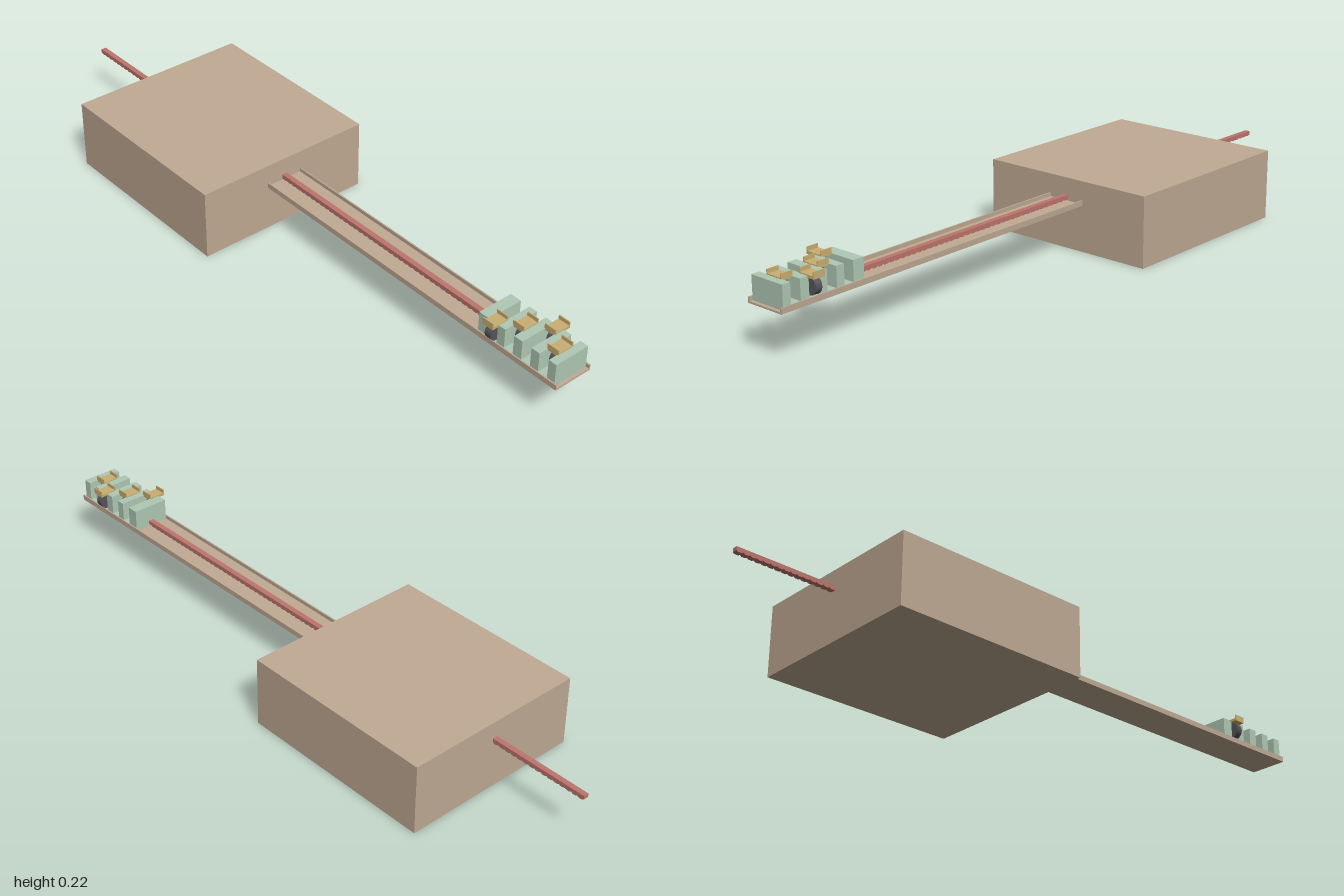
import * as THREE from 'three';

const material = (name, color) => {
  const m = new THREE.MeshStandardMaterial({ color });
  m.name = name;
  return m;
};

export function createModel() {
  const root = new THREE.Group();
  root.name = 'slidingMechanism';
  const tan = material('tan', 0xc0aa94);
  const green = material('paleGreen', 0xb0c9b5);
  const gold = material('brass', 0xc9af72);
  const red = material('dullRed', 0xbd756d);
  const dark = material('charcoal', 0x55555c);

  // Axis-aligned block given by its limits
  const block = (parent, name, mat, x0, x1, y0, y1, z0, z1) => {
    const mesh = new THREE.Mesh(new THREE.BoxGeometry(x1 - x0, y1 - y0, z1 - z0), mat);
    mesh.position.set((x0 + x1) / 2, (y0 + y1) / 2, (z0 + z1) / 2);
    mesh.name = name;
    parent.add(mesh);
    return mesh;
  };

  block(root, 'housing', tan, -0.277, 0.277, 0, 0.208, -0.7, -0.1);

  // U-shaped channel
  const channel = new THREE.Group();
  channel.name = 'channel';
  root.add(channel);
  block(channel, 'channelFloor', tan, -0.06, 0.06, 0.136, 0.141, -0.1, 1);
  for (const s of [-1, 1]) {
    block(channel, 'channelWall', tan, s * 0.058 - 0.002, s * 0.058 + 0.002, 0.141, 0.152, -0.1, 1);
  }

  // Push rod with fine teeth along its underside
  const rod = new THREE.Shape();
  const start = -1, end = 0.73, pitch = 0.02;
  const count = Math.floor((end - start) / pitch);
  rod.moveTo(start, 0.158);
  rod.lineTo(start, 0.147);
  for (let i = 0; i < count; i++) {
    const z = start + i * pitch;
    rod.lineTo(z + pitch * 0.25, 0.144);
    rod.lineTo(z + pitch * 0.75, 0.144);
    rod.lineTo(z + pitch, 0.147);
  }
  rod.lineTo(end, 0.147);
  rod.lineTo(end, 0.158);
  const rodGeometry = new THREE.ExtrudeGeometry(rod, { depth: 0.016, bevelEnabled: false });
  rodGeometry.rotateY(-Math.PI / 2).translate(0.008, 0, 0);
  const rodMesh = new THREE.Mesh(rodGeometry, red);
  rodMesh.name = 'pushRod';
  root.add(rodMesh);

  // Holder: low base with upright dividers
  const holder = new THREE.Group();
  holder.name = 'holder';
  root.add(holder);
  block(holder, 'holderBase', green, -0.055, 0.055, 0.141, 0.15, 0.731, 0.989);
  const dividers = [[0.73, 0.765], [0.795, 0.82], [0.85, 0.878], [0.908, 0.935], [0.965, 0.99]];
  for (const [z0, z1] of dividers) {
    block(holder, 'divider', green, -0.055, 0.055, 0.141, 0.207, z0, z1);
  }

  // Discs hanging in the slots, each under a brass clip with upturned ends
  const stations = [[-0.05, 0.78], [0, 0.835], [0.05, 0.893], [0, 0.95]];
  for (const [x, z] of stations) {
    const slider = new THREE.Group();
    slider.name = 'slider';
    slider.position.set(x, 0, z);
    root.add(slider);
    const disc = new THREE.Mesh(new THREE.CylinderGeometry(0.024, 0.024, 0.02, 32), dark);
    disc.rotation.x = Math.PI / 2;
    disc.position.y = 0.178;
    disc.name = 'disc';
    slider.add(disc);
    block(slider, 'clipPlate', gold, -0.026, 0.026, 0.202, 0.21, -0.018, 0.018);
    for (const s of [-1, 1]) {
      block(slider, 'clipFlange', gold, s * 0.0245 - 0.0015, s * 0.0245 + 0.0015, 0.21, 0.221, -0.018, 0.018);
    }
  }
  return root;
}
